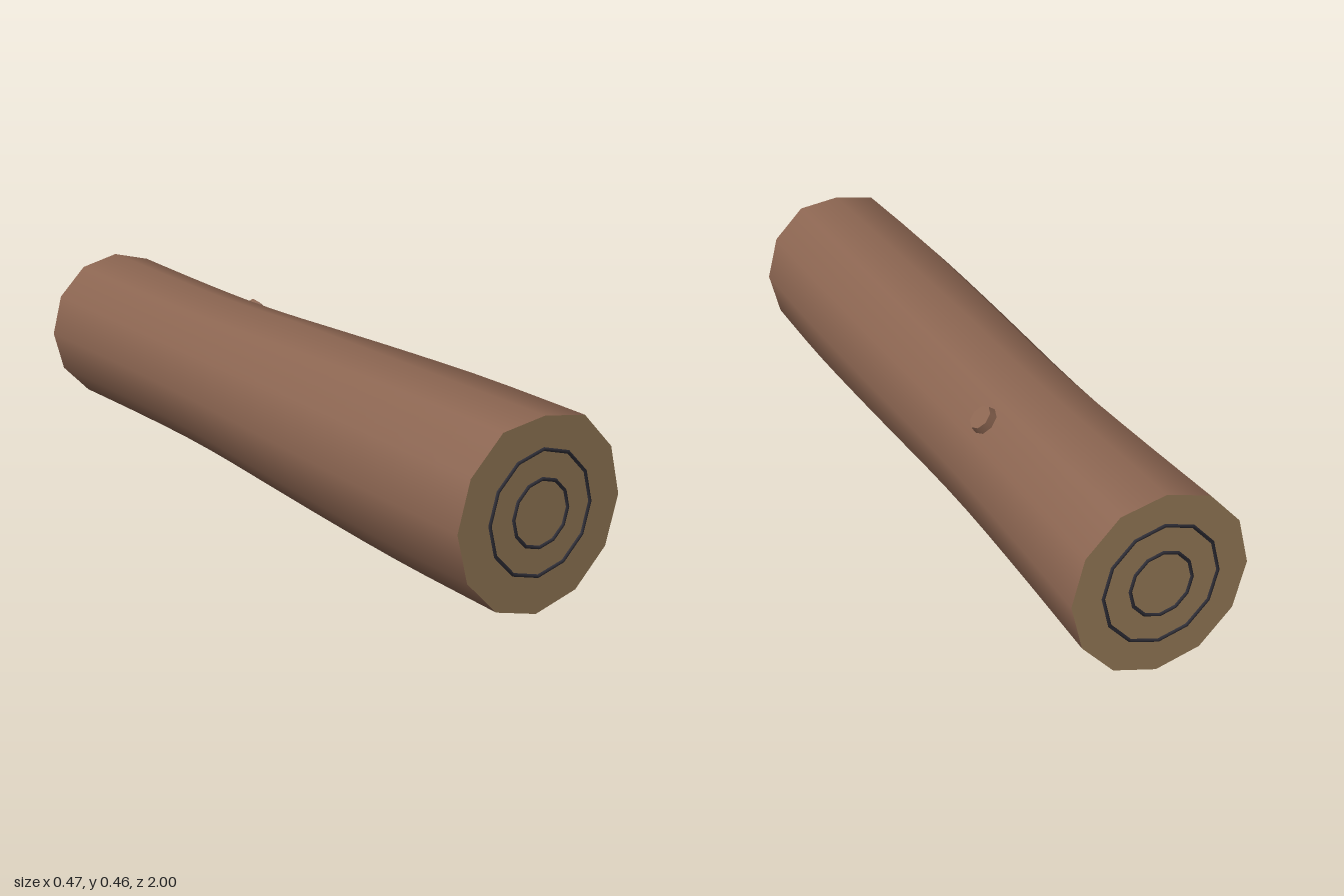
import * as THREE from 'three';

const SIDES = 12, HALF = 0.995, CENTRE_Y = 0.242, TALL = 1.03, TOP = 0.466;

// Log half-width from the back end to the front end
const profile = new THREE.CatmullRomCurve3([
  [-1, 0.22], [-0.7, 0.213], [-0.4, 0.209], [-0.2, 0.211], [0, 0.217],
  [0.3, 0.226], [0.65, 0.233], [1, 0.231],
].map(([z, r]) => new THREE.Vector3(r, 0, z * HALF)));

// Scale a unit section to the log's oval, with the top ridge worn flat
function fit(geometry, radiusAt) {
  const p = geometry.attributes.position;
  for (let i = 0; i < p.count; i++) {
    const r = radiusAt(p.getZ(i));
    p.setXY(i, p.getX(i) * r, Math.min(TOP, CENTRE_Y + p.getY(i) * r * TALL));
  }
  return geometry;
}

function radiusAt(z) {
  let lo = 0, hi = 1;
  for (let i = 0; i < 24; i++) {
    const mid = (lo + hi) / 2;
    if (profile.getPoint(mid).z < z) lo = mid; else hi = mid;
  }
  return profile.getPoint(lo).x;
}

export function createModel() {
  const group = new THREE.Group();
  const material = (name, color) => {
    const m = new THREE.MeshStandardMaterial({ color });
    m.name = name;
    return m;
  };
  const bark = material('bark brown', 0x8a6450);
  const wood = material('cut wood tan', 0xa88962);
  const dark = material('growth ring dark', 0x2f2e37);
  const add = (name, geometry, mat) => {
    const mesh = new THREE.Mesh(geometry, mat);
    mesh.name = name;
    group.add(mesh);
    return mesh;
  };

  // Bark: smooth twelve-sided tube with a gentle waist
  const tube = new THREE.CylinderGeometry(1, 1, HALF * 2, SIDES, 16, true);
  tube.rotateX(Math.PI / 2);
  add('bark', fit(tube, radiusAt), bark);

  // Sawn ends, each with two raised growth rings
  for (const [end, side] of [['front', 1], ['back', -1]]) {
    const cap = new THREE.CircleGeometry(1, SIDES);
    if (side < 0) cap.rotateY(Math.PI);
    cap.translate(0, 0, side * HALF);
    add(end + 'CutFace', fit(cap, radiusAt), wood);

    for (const [name, r] of [['OuterRing', 0.1435], ['InnerRing', 0.0775]]) {
      const ring = add(end + name, new THREE.TorusGeometry(r, 0.0042, 6, SIDES), dark);
      ring.scale.y = TALL;
      ring.position.set(0, CENTRE_Y + 0.001, side * (HALF + 0.0008));
    }
  }

  // Small branch stub on the upper left, pointing outwards
  const stub = new THREE.CylinderGeometry(0.032, 0.04, 0.036, 8);
  const knot = add('branchStub', stub, bark);
  knot.position.set(0.145, 0.389, -0.4);
  knot.rotation.z = -Math.PI / 4;

  return group;
}
